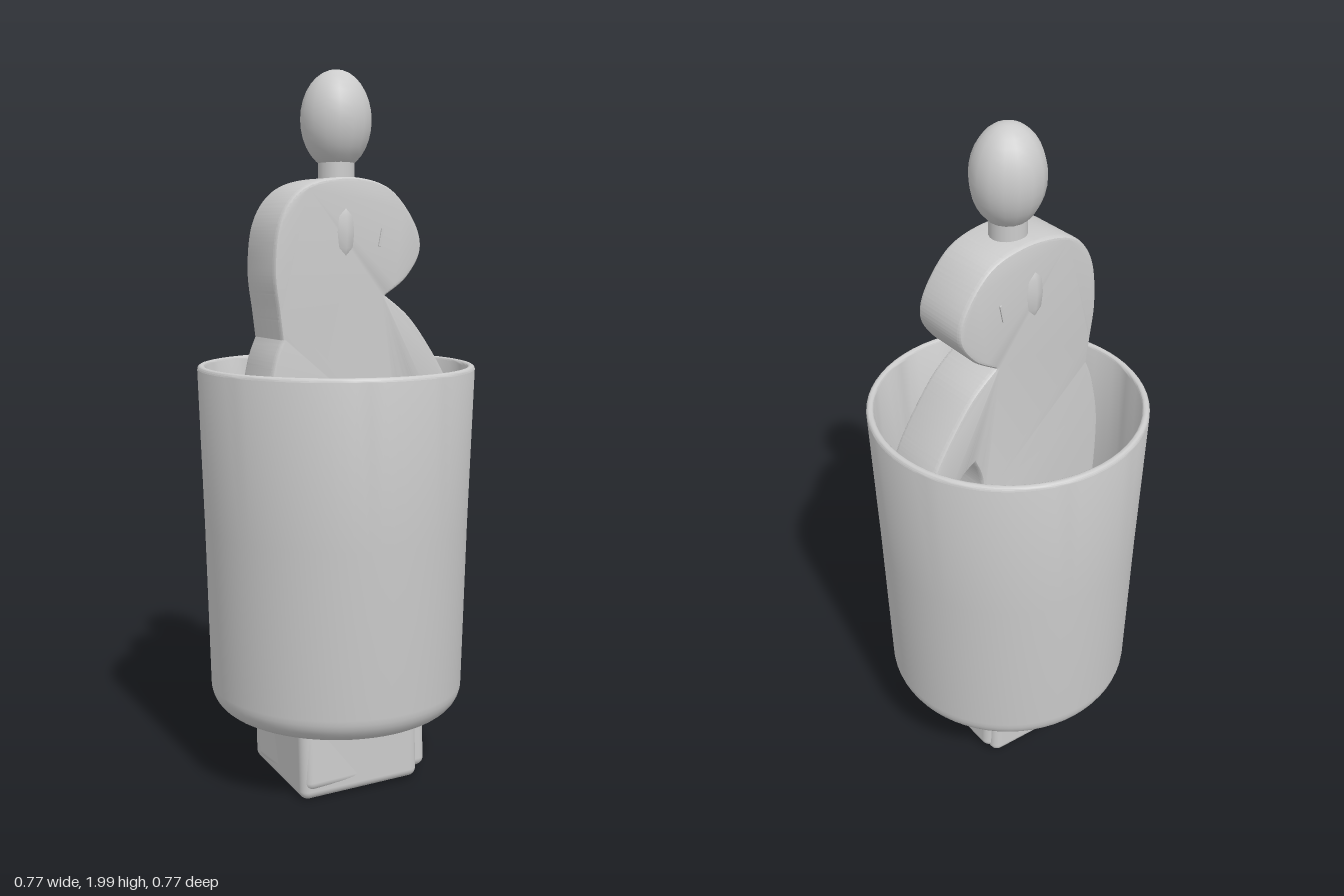
import * as THREE from 'three';
import { toCreasedNormals } from 'three/addons/utils/BufferGeometryUtils.js';
import { RoundedBoxGeometry } from 'three/addons/geometries/RoundedBoxGeometry.js';

const grey = new THREE.MeshStandardMaterial({ color: 0xcccccc });
const vec = ([x, y]) => new THREE.Vector2(x, y);

function add(group, name, geometry, position = [0, 0, 0], rotation = [0, 0, 0]) {
  const mesh = new THREE.Mesh(geometry, grey);
  mesh.name = name;
  mesh.position.set(...position);
  mesh.rotation.set(...rotation);
  group.add(mesh);
  return mesh;
}

// Points of a rounded corner, angles in degrees
function arc(cx, cy, r, from, to, steps = 8) {
  return Array.from({ length: steps + 1 }, (_, i) => {
    const a = THREE.MathUtils.degToRad(from + (to - from) * i / steps);
    return [cx + r * Math.cos(a), cy + r * Math.sin(a)];
  });
}

// Hollow cup with a rounded foot and rim
function cupGeometry() {
  const profile = [
    [0, 0.215],
    ...arc(0.285, 0.29, 0.075, -90, 0),
    [0.372, 0.75],
    ...arc(0.376, 1.19, 0.011, 0, 180),
    [0.352, 0.75],
    ...arc(0.27, 0.32, 0.07, 0, -90),
    [0, 0.25],
  ];
  return toCreasedNormals(new THREE.LatheGeometry(profile.map(vec), 64), 0.6);
}

// Flat bird-like figure: smooth runs that meet at sharp corners
function figureGeometry() {
  const shape = new THREE.Shape();
  shape.moveTo(-0.213, 1.28);
  const runs = [
    // back of the head, crown, face
    [[-0.222, 1.35], [-0.235, 1.46], [-0.222, 1.58], [-0.175, 1.66], [-0.1, 1.7], [0.02, 1.711],
      [0.127, 1.682], [0.205, 1.595], [0.225, 1.515], [0.18, 1.44], [0.112, 1.392]],
    // wing down to its tip and back under
    [[0.196, 1.325], [0.285, 1.207], [0.33, 1.12], [0.325, 1.06], [0.27, 1.045], [0.225, 1.1], [0.185, 1.125]],
    // belly and underside
    [[0.16, 1.03], [0.19, 0.85], [0.18, 0.62], [0.1, 0.46], [-0.1, 0.46], [-0.2, 0.58],
      [-0.25, 0.8], [-0.264, 1.05], [-0.24, 1.205], [-0.213, 1.28]],
  ];
  runs.forEach(run => shape.splineThru(run.map(vec)));
  const geometry = new THREE.ExtrudeGeometry(shape, {
    depth: 0.146, curveSegments: 40,
    bevelThickness: 0.012, bevelSize: 0.01, bevelOffset: -0.01, bevelSegments: 3,
  });
  return toCreasedNormals(geometry.translate(0, 0, -0.073), 0.5);
}

export function createModel() {
  const model = new THREE.Group();
  model.name = 'cupWithFigure';

  add(model, 'cup', cupGeometry());
  add(model, 'figure', figureGeometry());

  // Eyes just breaking both faces of the figure
  for (const side of [-1, 1]) {
    add(model, 'eye', new THREE.SphereGeometry(1, 8, 6), [-0.018, 1.565, side * 0.07])
      .scale.set(0.035, 0.085, 0.024);
    add(model, 'farEye', new THREE.BoxGeometry(0.007, 0.05, 0.012), [0.092, 1.55, side * 0.083], [0, 0, -0.2]);
  }

  // Knob and its collar
  add(model, 'collar', new THREE.CylinderGeometry(0.05, 0.05, 0.08, 24), [0, 1.72, 0]);
  const knob = new THREE.SphereGeometry(1, 16, 16).scale(0.099, 0.134, 0.096);
  add(model, 'knob', knob, [0, 1.866, 0]);

  // Two overlapping tilted cubes under and through the cup floor
  add(model, 'cube', new RoundedBoxGeometry(0.362, 0.375, 0.355, 4, 0.025), [-0.01, 0.205, 0.003], [0.02, -0.08, 0.035]);
  add(model, 'secondCube', new RoundedBoxGeometry(0.385, 0.35, 0.325, 4, 0.025), [0.003, 0.212, 0.012], [-0.02, -0.03, 0.02]);

  return model;
}
